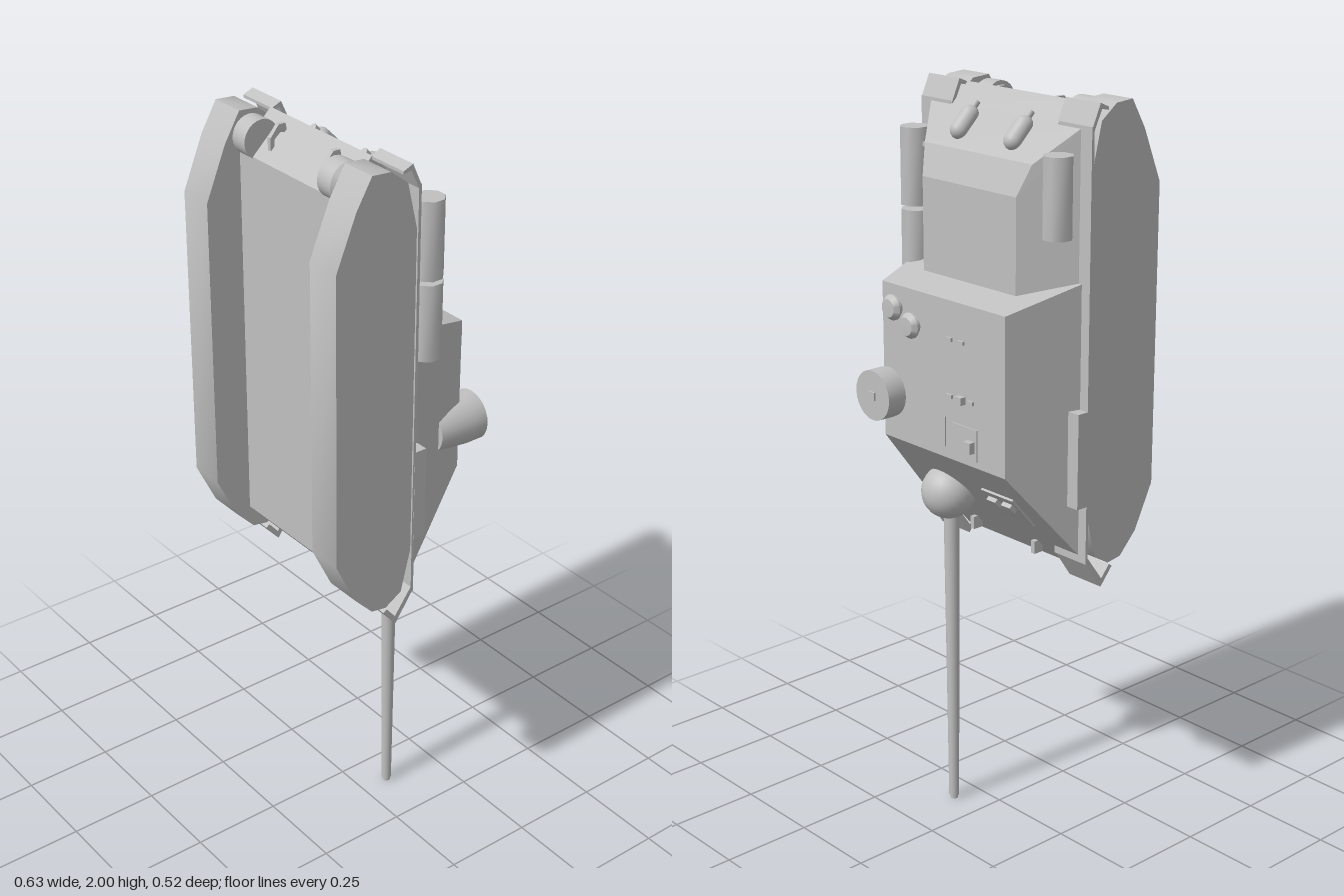
import * as THREE from 'three';
import { toCreasedNormals } from 'three/addons/utils/BufferGeometryUtils.js';
import { ConvexGeometry } from 'three/addons/geometries/ConvexGeometry.js';

// The vehicle stands on its nose: forward is -y, its roof faces -z.
export function createModel() {
  const group = new THREE.Group();
  const grey = new THREE.MeshStandardMaterial({ color: 0xc0c0c0 });
  grey.name = 'plain grey';

  const add = (name, geo, x = 0, y = 0, z = 0) => {
    const m = new THREE.Mesh(geo, grey);
    m.name = name;
    m.position.set(x, y, z);
    group.add(m);
    return m;
  };
  const box = (name, w, h, d, x, y, z) => add(name, new THREE.BoxGeometry(w, h, d), x, y, z);
  // Side profile of [z, y] points, extruded across x from x0 to x1
  const profile = (name, pts, x0, x1, crease = 0.1) => {
    const shape = new THREE.Shape(pts.map(([z, y]) => new THREE.Vector2(z, y)));
    const geo = new THREE.ExtrudeGeometry(shape, { depth: x1 - x0, bevelEnabled: false });
    geo.rotateY(-Math.PI / 2).translate(x1, 0, 0);
    return add(name, toCreasedNormals(geo, crease));
  };
  // Convex body from [half width, y, z] points mirrored in x
  const body = (name, pts) => add(name, new ConvexGeometry(
    pts.flatMap(([x, y, z]) => [new THREE.Vector3(x, y, z), new THREE.Vector3(-x, y, z)])));
  // Lathe of [radius, height] points, whose axis points out of the roof (-z)
  const roofLathe = (name, pts, x, y, z) => {
    const geo = new THREE.LatheGeometry(pts.map(([r, h]) => new THREE.Vector2(r, h)), 24);
    return add(name, toCreasedNormals(geo.rotateX(-Math.PI / 2), 0.5), x, y, z);
  };

  // Hull
  profile('lowerHull', [[0.01, 1.933], [0.068, 1.99], [0.163, 1.9], [0.163, 0.875],
    [0.07, 0.77], [0.01, 0.84]], -0.2, 0.2);
  body('engineDeck', [[0.175, 1.5, -0.105], [0.175, 1.77, -0.105], [0.2, 1.85, -0.075],
    [0.28, 1.94, 0.017], [0.28, 1.5, 0.017]]);
  body('casemate', [[0.235, 1.5, -0.195], [0.235, 1.08, -0.195],
    [0.288, 1.555, 0.017], [0.288, 0.83, 0.017]]);

  const trackLine = [[0.258, 1.78], [0.258, 0.98], [0.2, 0.86], [0.145, 0.802], [0.1, 0.795],
    [0.05, 0.825], [0.02, 0.947], [0.02, 1.83], [0.05, 1.955], [0.1, 1.993], [0.155, 1.997], [0.2, 1.92]];
  for (const s of [-1, 1]) {
    const side = s > 0 ? 'left' : 'right';
    const span = (a, b) => (s > 0 ? [a, b] : [-b, -a]);

    // Tracks, fenders and end flaps
    profile(side + 'Track', trackLine, ...span(0.21, 0.31), 0.8);
    box(side + 'Fender', 0.115, 1.13, 0.008, s * 0.2575, 1.38, 0.017);
    profile(side + 'FrontFlap', [[0.013, 0.82], [0.07, 0.737], [0.11, 0.785], [0.1, 0.793],
      [0.072, 0.76], [0.021, 0.83]], ...span(0.2, 0.315));
    profile(side + 'RearFlap', [[0.013, 1.94], [0.021, 1.935], [0.045, 1.985], [0.068, 1.98],
      [0.068, 1.988], [0.04, 2]], ...span(0.195, 0.315));
    box(side + 'FenderBox', 0.045, 0.255, 0.036, s * 0.293, 1.102, -0.002);

    // Final drives at the rear
    const drive = new THREE.CylinderGeometry(0.051, 0.051, 0.05, 24).rotateZ(Math.PI / 2);
    add(side + 'FinalDrive', toCreasedNormals(drive, 0.5), s * 0.17, 1.939, 0.136);
    const cone = new THREE.CylinderGeometry(0.032, 0.051, 0.018, 24).rotateZ(-s * Math.PI / 2);
    add(side + 'DriveCone', toCreasedNormals(cone, 0.5), s * 0.204, 1.939, 0.136);

    // Fuel drums: two on the left, one on the right
    for (const y of s > 0 ? [1.778, 1.562] : [1.778]) {
      const drum = new THREE.CylinderGeometry(0.039, 0.039, 0.205, 8, 1, false, Math.PI / 8);
      add(side + 'FuelDrum', toCreasedNormals(drum, 0.9), s * 0.267, y, -0.053);
      for (const dy of [-0.06, 0.06]) {
        box(side + 'DrumBracket', 0.04, 0.012, 0.012, s * 0.23, y + dy, -0.05);
      }
    }

    // Exhaust covers and pipes lying along the rear plate
    const cover = add(side + 'ExhaustCover', new THREE.CapsuleGeometry(0.024, 0.05, 6, 16), s * 0.1, 1.908, -0.028);
    cover.rotation.x = Math.PI / 4;
    const pipe = add(side + 'ExhaustPipe', new THREE.CylinderGeometry(0.01, 0.01, 0.03, 12), s * 0.1, 1.945, 0.004);
    pipe.rotation.x = Math.PI / 4;

    // Tow hooks on the lower rear plate and the nose
    profile(side + 'RearHook', [[0.09, 1.96], [0.095, 1.985], [0.115, 1.985], [0.14, 1.955],
      [0.14, 1.915], [0.13, 1.925], [0.128, 1.95], [0.11, 1.965]], s * 0.108 - 0.006, s * 0.108 + 0.006);
    box(side + 'NoseHook', 0.014, 0.035, 0.03, s * 0.12, 0.806, 0.025);
  }

  // Gun with ball mantlet
  add('mantlet', new THREE.SphereGeometry(0.074, 24, 16), 0.1, 0.93, -0.092);
  add('barrel', new THREE.CylinderGeometry(0.022, 0.014, 0.89, 16), 0.1, 0.455, -0.082);
  add('muzzle', new THREE.CylinderGeometry(0.011, 0.011, 0.012, 16), 0.1, 0.006, -0.082);

  // Commander's cupola
  roofLathe('cupola', [[0, 0], [0.058, 0], [0.068, 0.1], [0.068, 0.143], [0, 0.143]], 0.214, 1.205, -0.11);
  box('cupolaPeriscope', 0.025, 0.022, 0.01, 0.214, 1.205, -0.253);

  // Roof ventilators
  for (const [x, y] of [[0.18, 1.442], [0.11, 1.408]]) {
    roofLathe('ventilator', [[0.025, 0], [0.025, 0.01], [0.034, 0.012], [0.034, 0.017],
      [0.024, 0.03], [0, 0.031]], x, y, -0.194);
  }

  // Roof hatch, periscopes and hinges
  box('sightHatch', 0.095, 0.085, 0.005, -0.085, 1.14, -0.196);
  box('sight', 0.026, 0.03, 0.02, -0.112, 1.135, -0.205);
  box('periscope', 0.024, 0.02, 0.018, -0.075, 1.25, -0.203);
  for (const [x, y] of [[-0.03, 1.25], [-0.11, 1.25], [-0.03, 1.4], [-0.075, 1.4]]) {
    box('hatchHinge', 0.02, 0.01, 0.008, x, y, -0.198);
  }
  box('hatchSeam', 0.006, 0.08, 0.004, -0.008, 1.15, -0.196);

  // Driver's hatch on the glacis, with two vision blocks
  const tilt = Math.atan2(0.265, 0.305);
  const driver = new THREE.Group();
  driver.name = 'driverHatch';
  driver.position.set(-0.125, 0.947, -0.08);
  driver.rotation.x = -tilt;
  const piece = (name, w, h, d, x, y, z) => driver.add(box(name, w, h, d, x, y, z));
  piece('hatchPlate', 0.12, 0.12, 0.014, 0, 0, 0);
  for (const x of [-0.028, 0.028]) piece('visionBlock', 0.034, 0.026, 0.014, x, 0.025, -0.012);
  group.add(driver);

  return group;
}
